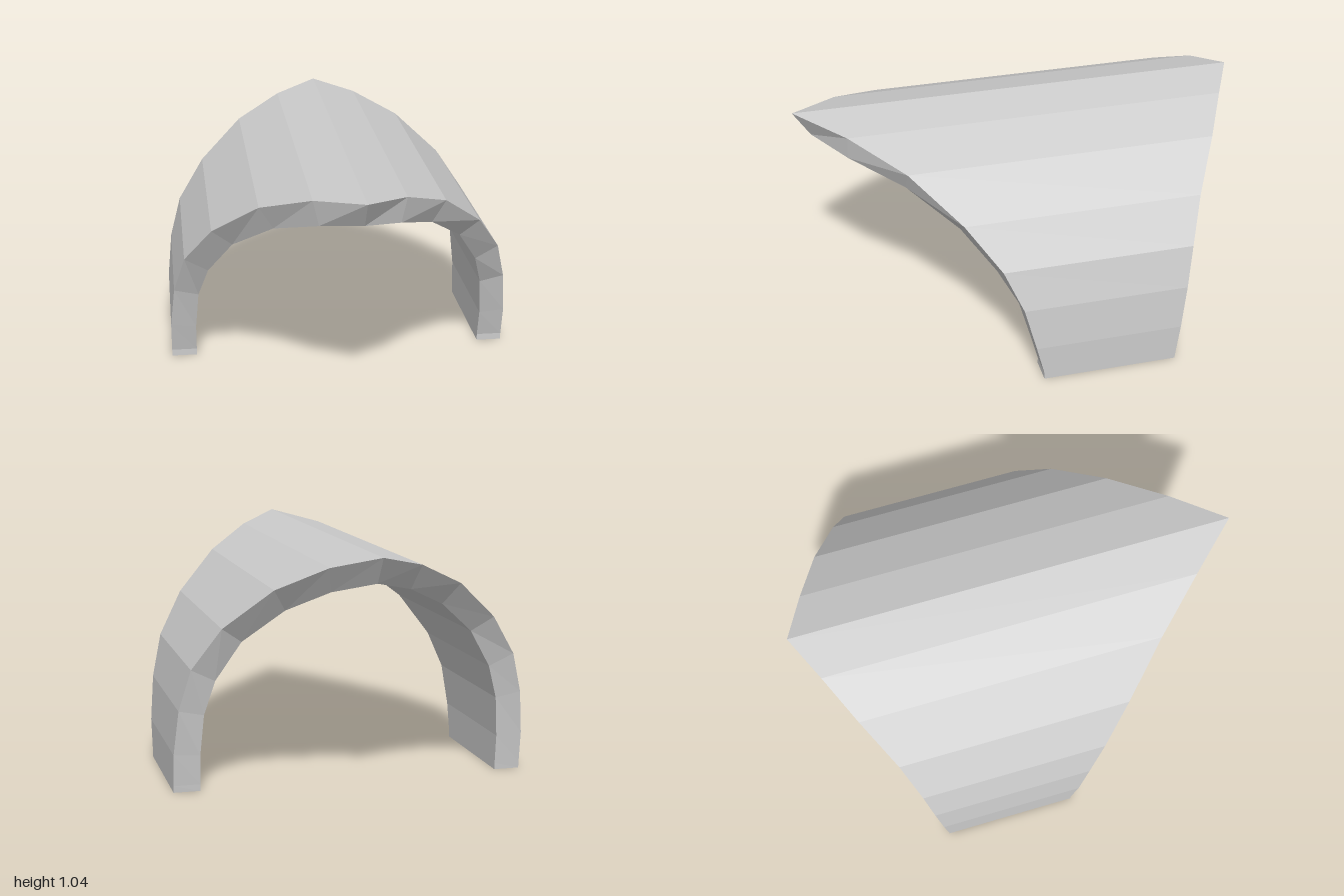
import * as THREE from 'three';

// Half of the arch, foot to crown. Each corner is [x, y, zFront, zBack].
const outer = [
  [0.785, 0, 0.065, -0.54], [0.785, 0.03, 0.065, -0.543], [0.785, 0.17, 0.1, -0.56],
  [0.765, 0.365, 0.15, -0.587], [0.715, 0.545, 0.23, -0.62], [0.595, 0.725, 0.37, -0.685],
  [0.4, 0.895, 0.57, -0.8], [0.195, 0.993, 0.79, -0.903], [0, 1.04, 1, -1],
];
const inner = [
  [0.67, 0, 0.065, -0.54], [0.67, 0.03, 0.065, -0.542], [0.67, 0.16, 0.1, -0.555],
  [0.655, 0.34, 0.15, -0.575], [0.61, 0.49, 0.235, -0.6], [0.505, 0.66, 0.37, -0.645],
  [0.34, 0.8, 0.57, -0.737], [0.17, 0.883, 0.79, -0.83], [0, 0.925, 0.925, -0.92],
];

// Four-cornered section of the shell: outer front, outer back, inner back, inner front
function section(i, side) {
  const [ox, oy, of, ob] = outer[i];
  const [ix, iy, nf, nb] = inner[i];
  return [[side * ox, oy, of], [side * ox, oy, ob], [side * ix, iy, nb], [side * ix, iy, nf]];
}

export function createModel() {
  const group = new THREE.Group();
  group.name = 'archedShell';

  // Run from the right foot over the crown to the left foot
  const rings = [];
  const crown = outer.length - 1;
  for (let i = 0; i <= crown; i++) rings.push(section(i, -1));
  for (let i = crown - 1; i >= 0; i--) rings.push(section(i, 1));

  const positions = [];
  const quad = (a, b, c, d) => positions.push(...a, ...b, ...c, ...a, ...c, ...d);

  // Outer skin, back rim, inner skin and front rim
  for (let i = 0; i < rings.length - 1; i++) {
    for (let k = 0; k < 4; k++) {
      const n = (k + 1) % 4;
      quad(rings[i][k], rings[i + 1][k], rings[i + 1][n], rings[i][n]);
    }
  }

  // Undersides of the feet
  quad(...rings[0]);
  quad(...[...rings[rings.length - 1]].reverse());

  const geometry = new THREE.BufferGeometry();
  geometry.setAttribute('position', new THREE.Float32BufferAttribute(positions, 3));
  geometry.computeVertexNormals();
  const shell = new THREE.Mesh(
    geometry,
    new THREE.MeshStandardMaterial({ color: 0xcccccc, flatShading: true }),
  );
  shell.name = 'archShell';
  group.add(shell);
  return group;
}
